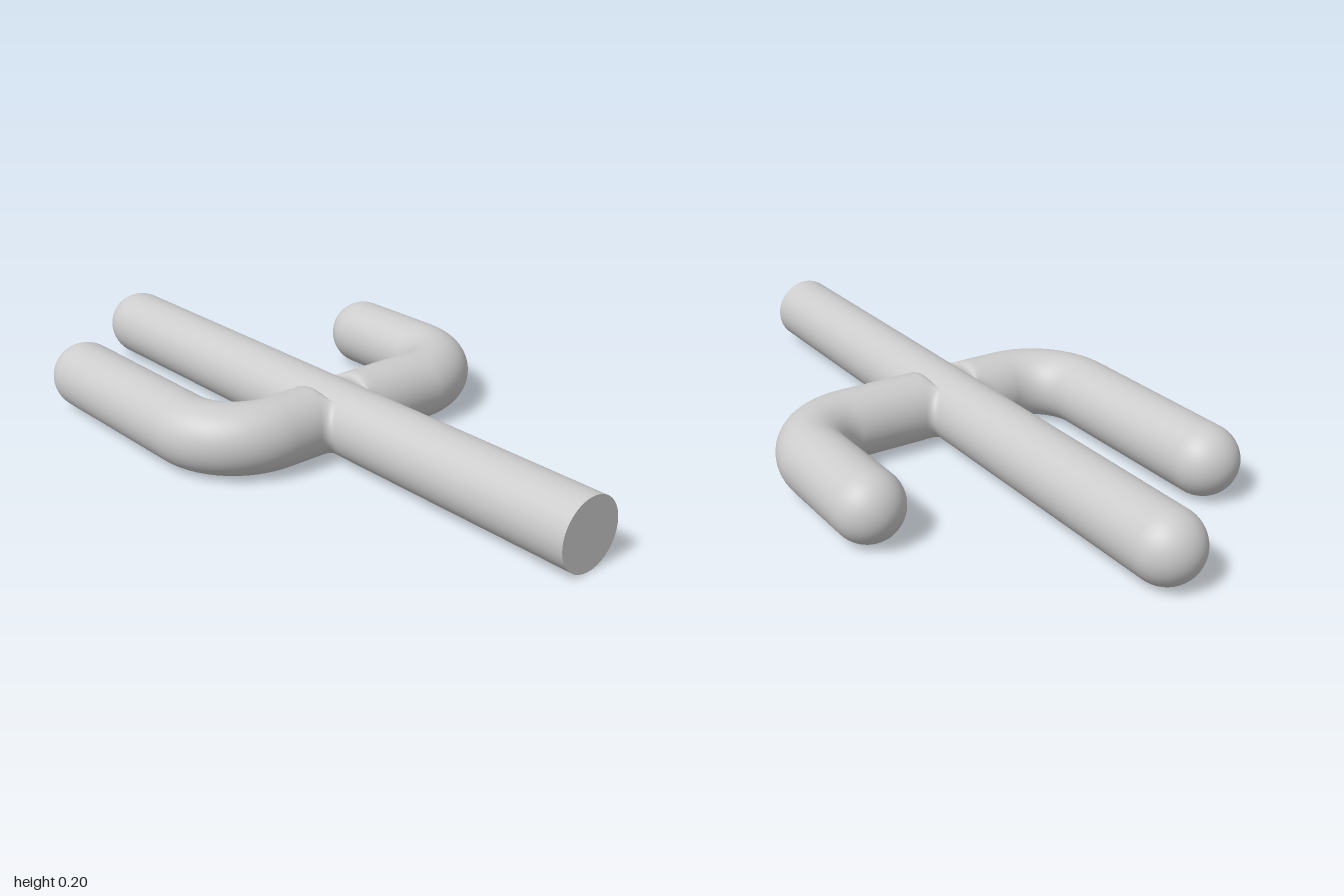
import * as THREE from 'three';
import { mergeVertices } from 'three/addons/utils/BufferGeometryUtils.js';

const R = 0.1;          // tube radius
const MID = 0.1;        // height of every centre line
const TRUNK_X = -0.065;
const ARM_Z = 0.085;    // where the arms leave the trunk
const BEND = 0.18;      // bend radius of the elbows
const SEG = 64;

// Ring of points around a centre (x, z); the ring lies in y and the direction (nx, nz)
function ring(x, z, nx, nz, r) {
  const pts = [];
  for (let j = 0; j < SEG; j++) {
    const a = (j / SEG) * Math.PI * 2;
    const c = r * Math.cos(a);
    pts.push([x + c * nx, MID + r * Math.sin(a), z + c * nz]);
  }
  return pts;
}

// Flared blend from the trunk surface (t = 0) to the round arm (t = 1)
function collarRing(side, t) {
  const pts = [];
  const blend = (p, q, r) => (1 - t) ** 2 * p + 2 * t * (1 - t) * q + t * t * r;
  for (let j = 0; j < SEG; j++) {
    const a = (j / SEG) * Math.PI * 2;
    const c = Math.cos(a), s = Math.sin(a);
    const h = THREE.MathUtils.clamp(R * s, -0.076, 0.076);
    const onTrunk = Math.sqrt(R * R - h * h);
    const d = blend(onTrunk, onTrunk, 0.095 + 0.03 * c * c);
    pts.push([
      TRUNK_X + side * d,
      MID + blend(h, R * s, R * s),
      ARM_Z + blend(0.125 * c, R * c, R * c),
    ]);
  }
  return pts;
}

// Skin a row of rings into one smooth surface
function skin(rings, flip) {
  const index = [];
  for (let i = 0; i < rings.length - 1; i++) {
    for (let j = 0; j < SEG; j++) {
      const k = (j + 1) % SEG;
      const a = i * SEG + j, b = i * SEG + k, c = a + SEG, d = b + SEG;
      if (flip) index.push(a, b, c, b, d, c);
      else index.push(a, c, b, b, c, d);
    }
  }
  let geo = new THREE.BufferGeometry();
  geo.setAttribute('position', new THREE.Float32BufferAttribute(rings.flat(2), 3));
  geo.setIndex(index);
  geo = mergeVertices(geo, 1e-5);
  geo.computeVertexNormals();
  return geo;
}

// Arm: collar, straight run, elbow, straight run, round tip
function armGeometry(side, bendX, endZ) {
  const rings = [];
  for (let i = 0; i <= 8; i++) rings.push(collarRing(side, i / 8));
  const bendZ = ARM_Z - BEND;
  for (let i = 0; i <= 24; i++) {
    const b = (i / 24) * Math.PI / 2;
    const nx = side * Math.sin(b), nz = Math.cos(b);
    rings.push(ring(bendX + BEND * nx, bendZ + BEND * nz, nx, nz, R));
  }
  const x = bendX + side * BEND;
  for (let i = 0; i <= 16; i++) {
    const c = (i / 16) * Math.PI / 2;
    rings.push(ring(x, endZ - R * Math.sin(c), side, 0, R * Math.cos(c)));
  }
  return skin(rings, side < 0);
}

export function createModel() {
  const group = new THREE.Group();
  group.name = 'cactus';
  const material = new THREE.MeshStandardMaterial({ color: 0xcccccc });
  const add = (name, geometry) => {
    const mesh = new THREE.Mesh(geometry, material);
    mesh.name = name;
    group.add(mesh);
    return mesh;
  };

  // Trunk with a domed tip at the back
  const profile = [new THREE.Vector2(R, -1)];
  for (let i = 0; i <= 16; i++) {
    const c = (i / 16) * Math.PI / 2;
    profile.push(new THREE.Vector2(R * Math.cos(c), 0.9 + R * Math.sin(c)));
  }
  const trunk = add('trunk', new THREE.LatheGeometry(profile, SEG).rotateX(-Math.PI / 2));
  trunk.position.set(TRUNK_X, MID, 0);

  // Flat cut end at the front
  const base = add('trunkBase', new THREE.CircleGeometry(R, SEG));
  base.position.set(TRUNK_X, MID, 1);

  add('leftArm', armGeometry(1, 0.26, -0.355));
  add('rightArm', armGeometry(-1, -0.265, -0.61));
  return group;
}
